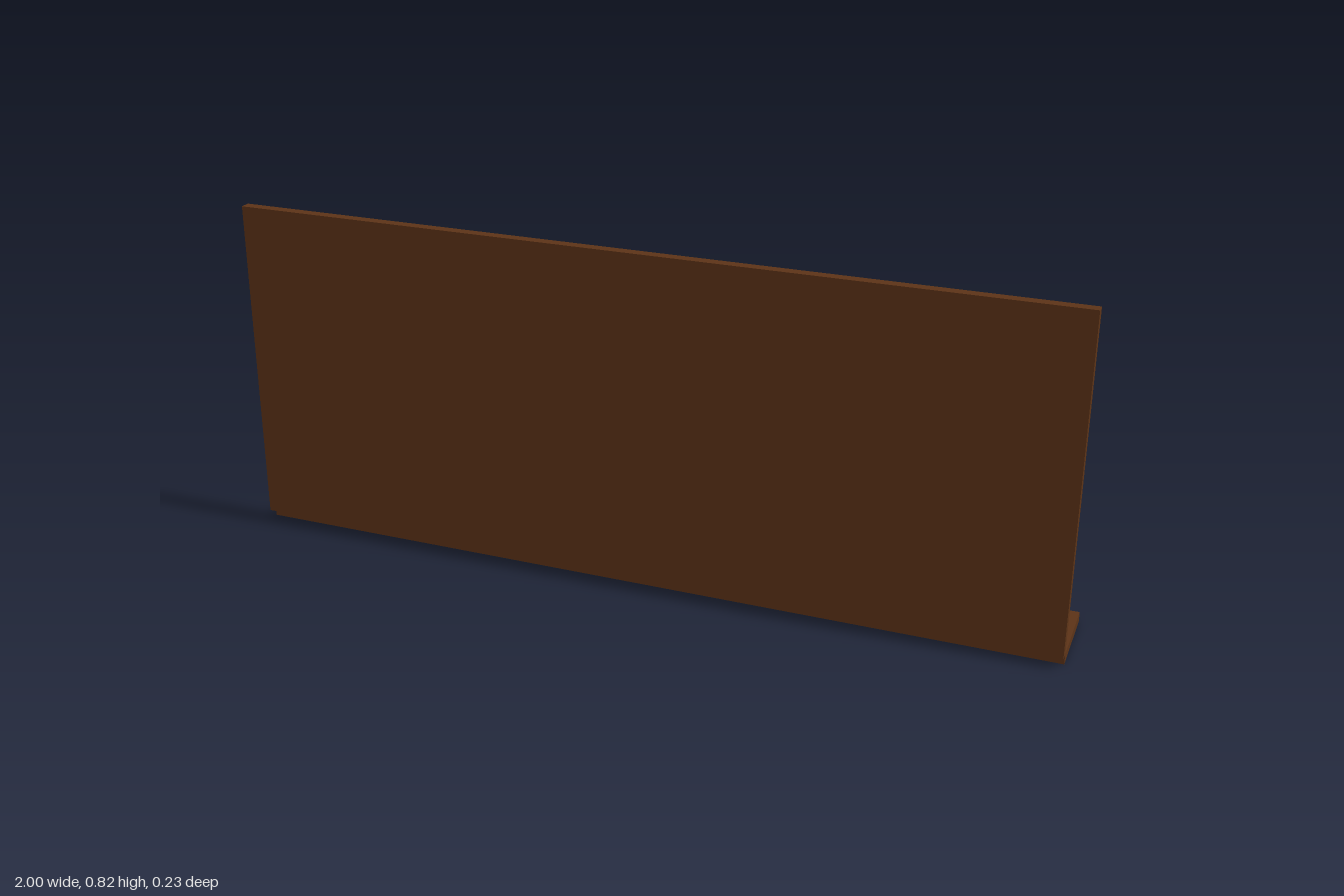
import * as THREE from 'three';

const mat = (color) => new THREE.MeshStandardMaterial({ color, flatShading: true });

// Squared-off boulder: a dodecahedron swollen towards its cube corners
function rockGeometry(size) {
  const geo = new THREE.DodecahedronGeometry(1, 1).rotateX(Math.PI / 2);
  const pos = geo.attributes.position;
  const v = new THREE.Vector3();
  for (let i = 0; i < pos.count; i++) {
    v.fromBufferAttribute(pos, i).normalize();
    const norm = (Math.abs(v.x) ** 5 + Math.abs(v.y) ** 5 + Math.abs(v.z) ** 5) ** 0.2;
    const bump = 1 + 0.04 * Math.sin(5 * v.x + 3 * v.y) * Math.cos(4 * v.z - 2 * v.y);
    v.multiplyScalar((size / norm) * bump);
    pos.setXYZ(i, v.x, v.y, v.z);
  }
  geo.computeVertexNormals();
  return geo;
}

// Cracks as runs of x, y points on the back of the board
const CRACKS = [
  [.93, .796, .907, .713, .913, .582, .884, .461, .861, .378],
  [.832, .775, .751, .713, .733, .64, .664, .58, .565, .514],
  [.583, .758, .548, .694, .559, .64, .513, .585, .554, .517],
  [.507, .767, .472, .725, .484, .66, .455, .574, .414, .476],
  [.426, .773, .397, .745, .391, .668, .368, .571, .316, .487],
  [.27, .778, .217, .714, .154, .607],
  [-.009, .769, -.026, .712],
  [-.06, .705, -.107, .686, -.113, .595, -.177, .508],
  [-.183, .753, -.217, .669],
  [-.38, .753, -.41, .71],
  [-.455, .69, -.478, .624, -.53, .575, -.594, .515, -.664, .419],
  [-.525, .771, -.583, .693],
  [-.646, .751, -.71, .685],
  [-.728, .757, -.791, .67],
  [-.838, .76, -.901, .736, -.919, .662, -.913, .583, -.93, .494],
  [-.896, .77, -.936, .667],
];

export function createModel() {
  const model = new THREE.Group();
  const wood = mat(0x5c3317);
  const stone = mat(0x444444);
  const pale = mat(0xcccccc);

  const add = (name, geometry, material, x, y, z) => {
    const mesh = new THREE.Mesh(geometry, material);
    mesh.name = name;
    mesh.position.set(x, y, z);
    model.add(mesh);
  };

  // Upright board and the shelf behind its foot
  add('board', new THREE.BoxGeometry(2, 0.8, 0.025), wood, 0, 0.425, 0.1025);
  add('shelf', new THREE.BoxGeometry(2, 0.025, 0.2), wood, 0, 0.0125, -0.01);

  // Boulders in two staggered rows
  const rock = rockGeometry(0.098);
  [[.643, .392], [.307, .245], [.103, .497], [-.11, .245], [-.367, .497], [-.645, .245]]
    .forEach(([x, y]) => add('rock', rock, stone, x, y, -0.005));

  // Pale faceted ball
  add('ball', new THREE.IcosahedronGeometry(0.102, 3), pale, -0.392, 0.219, -0.011);

  // Hairline cracks
  for (const run of CRACKS) {
    const points = [];
    for (let i = 0; i < run.length; i += 2) points.push(new THREE.Vector3(run[i], run[i + 1], 0));
    const curve = new THREE.CatmullRomCurve3(points);
    add('crack', new THREE.TubeGeometry(curve, points.length * 5, 0.002, 5), pale, 0, 0, 0.09);
  }
  return model;
}
